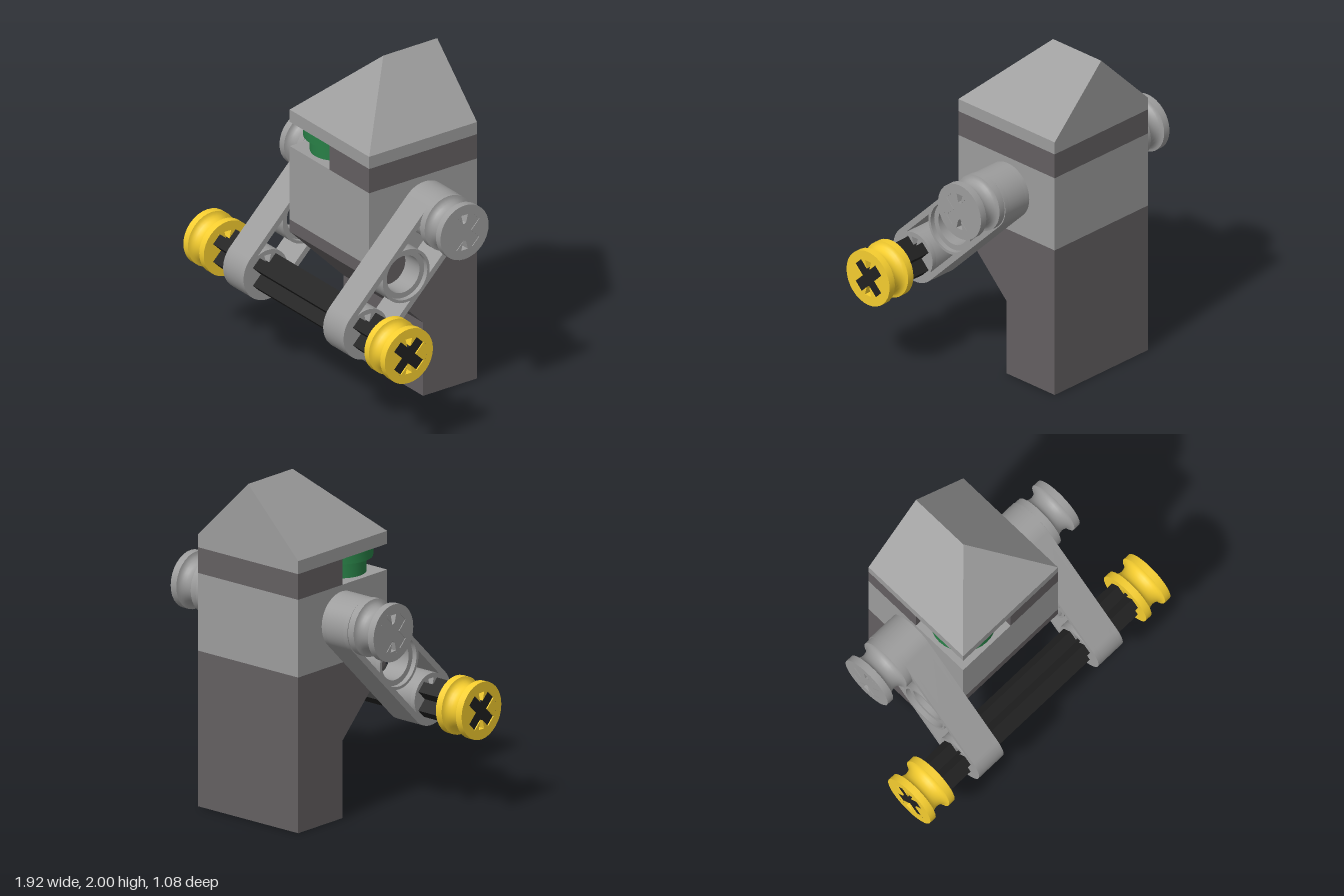
import * as THREE from 'three';
import { toCreasedNormals } from 'three/addons/utils/BufferGeometryUtils.js';
import { ConvexGeometry } from 'three/addons/geometries/ConvexGeometry.js';

const mat = (color) => new THREE.MeshStandardMaterial({ color });
const LIGHT = mat(0x9c9c9c), DARK = mat(0x635f61), BLACK = mat(0x212121);
const YELLOW = mat(0xf5cd2f), GREEN = mat(0x287f46);

const W = 0.38, BACK = -0.54, MID = -0.16, FRONT = 0.22;
const R = 0.17, ARM = 0.113, HALF = 0.034;
const UPPER = [-0.165, 1.185], LOWER = [0.37, 0.635]; // pivot points as [z, y]

const poly = (pts) => new THREE.Shape(pts.map(([a, b]) => new THREE.Vector2(a, b)));
const circle = (r, x = 0, y = 0) => new THREE.Path().absarc(x, y, r, 0, Math.PI * 2);

function mesh(name, geometry, material) {
  const m = new THREE.Mesh(geometry, material);
  m.name = name;
  return m;
}

const extrude = (shape, depth) => toCreasedNormals(new THREE.ExtrudeGeometry(shape,
  { depth, bevelEnabled: false, curveSegments: 20 }), 0.5);

// Extrude a (z, y) outline along x, centred on x = 0
const extrudeX = (shape, width, turn = 0) =>
  extrude(shape, width).translate(0, 0, -width / 2).rotateZ(turn).rotateY(-Math.PI / 2);

// Extrude an (x, -z) outline upwards from y
const extrudeY = (shape, height, y) =>
  extrude(shape, height).rotateX(-Math.PI / 2).translate(0, y, 0);

// Diagonal cross; notched adds the small clearance gaps above and below the centre
function crossPoints(notched, cx = 0, rot = 0) {
  const pts = [];
  const put = (a, x, y) => pts.push([
    cx + x * Math.cos(a) - y * Math.sin(a), x * Math.sin(a) + y * Math.cos(a)]);
  for (let k = 0; k < 4; k++) {
    const a = rot + Math.PI / 4 + k * Math.PI / 2;
    const odd = notched && k % 2 === 1;
    put(a, odd ? HALF + 0.015 : HALF, -HALF);
    put(a, ARM, -HALF);
    put(a, ARM, HALF);
    if (notched && k % 2 === 0) {
      put(a, HALF + 0.015, HALF);
      for (const d of [-0.21, 0.21]) put(a + Math.PI / 4 + d, 0.112, 0);
    }
  }
  return pts;
}

const axle = (name, length, material) =>
  mesh(name, extrudeX(poly(crossPoints(false)), length), material);

// Grooved bush: core with cross hole and a turned rim
function bush(name, material) {
  const g = new THREE.Group();
  g.name = name;
  const h = 0.0975, core = 0.125;
  const shape = new THREE.Shape().absarc(0, 0, core, 0, Math.PI * 2);
  shape.holes.push(poly(crossPoints(true)));
  g.add(mesh('bushCore', extrudeX(shape, h * 2), material));
  const profile = [[core, -h], [R, -h]];
  for (let i = 0; i <= 10; i++) {
    const t = Math.PI * i / 10;
    profile.push([R - 0.043 * Math.sin(t), -0.054 * Math.cos(t)]);
  }
  profile.push([R, h], [core, h]);
  const lathe = new THREE.LatheGeometry(profile.map((p) => new THREE.Vector2(...p)), 32);
  g.add(mesh('bushRim', toCreasedNormals(lathe.rotateZ(-Math.PI / 2), 0.6), material));
  return g;
}

// Three-hole link arm with open windows between the bosses
function linkArm(name) {
  const g = new THREE.Group();
  g.name = name;
  const L = 0.385, turn = 3 * Math.PI / 4, inner = 0.135, ring = 0.165, boss = 0.14;
  const layer = (holeRadius, width, x) => {
    const s = new THREE.Shape();
    s.absarc(L, 0, R, -Math.PI / 2, Math.PI / 2);
    s.absarc(-L, 0, R, Math.PI / 2, Math.PI * 1.5);
    s.closePath();
    s.holes.push(circle(holeRadius));
    for (const e of [1, -1]) {
      s.holes.push(poly(crossPoints(true, e * L, -turn)));
      const a = Math.asin(inner / ring), b = Math.asin(inner / boss), pts = [];
      for (let i = 0; i <= 12; i++) {
        const t = a * (i / 6 - 1);
        pts.push([e * ring * Math.cos(t), ring * Math.sin(t)]);
      }
      for (let i = 0; i <= 12; i++) {
        const t = b * (1 - i / 6);
        pts.push([e * (L - boss * Math.cos(t)), boss * Math.sin(t)]);
      }
      s.holes.push(poly(pts));
    }
    const m = mesh('armLayer', extrudeX(s, width, turn), LIGHT);
    m.position.x = x;
    g.add(m);
  };
  layer(0.115, 0.135, 0);
  for (const x of [-0.0825, 0.0825]) layer(0.148, 0.03, x);
  return g;
}

export function createModel() {
  const model = new THREE.Group();
  const place = (obj, x, [z, y]) => { obj.position.set(x, y, z); model.add(obj); };

  // Hollow base brick with a centre pin
  const frame = poly([[-W, -MID], [W, -MID], [W, -BACK], [-W, -BACK]]);
  const t = 0.075;
  frame.holes.push(poly([[-W + t, -MID + t], [W - t, -MID + t], [W - t, -BACK - t], [-W + t, -BACK - t]]));
  model.add(mesh('baseWalls', extrudeY(frame, 0.385, 0), DARK));
  const top = mesh('baseTop', new THREE.BoxGeometry(2 * W, 0.078, MID - BACK), DARK);
  place(top, 0, [(MID + BACK) / 2, 0.424]);
  const pin = mesh('basePin', new THREE.CylinderGeometry(0.077, 0.077, 0.385, 24), DARK);
  place(pin, 0, [(MID + BACK) / 2, 0.1925]);

  // Overhanging slope brick
  model.add(mesh('invertedSlope', extrudeX(poly(
    [[BACK, 0.463], [MID, 0.463], [FRONT, 0.85], [FRONT, 0.927], [BACK, 0.927]]), 2 * W), DARK));

  // Pair of body bricks bored for the upper axle
  for (const side of [1, -1]) {
    const s = poly([[BACK, 0.927], [FRONT, 0.927], [FRONT, 1.39], [BACK, 1.39]]);
    s.holes.push(circle(0.118, ...UPPER));
    const brick = mesh(side > 0 ? 'leftBodyBrick' : 'rightBodyBrick', extrudeX(s, W), LIGHT);
    brick.position.x = side * W / 2;
    model.add(brick);
  }

  // Corner plate and round lamp in its open quarter
  model.add(mesh('cornerPlate', extrudeY(poly([[0, -FRONT], [W, -FRONT], [W, -BACK],
    [-W, -BACK], [-W, -MID], [0, -MID]]), 0.153, 1.39), DARK));
  const lamp = [[0, 1.39], [0.152, 1.39], [0.152, 1.485], [0.19, 1.485], [0.19, 1.542], [0, 1.542]];
  const lampMesh = mesh('roundLamp', toCreasedNormals(new THREE.LatheGeometry(
    lamp.map((p) => new THREE.Vector2(...p)), 32), 0.5), GREEN);
  place(lampMesh, -W / 2, [0.03, 0]);

  // Roof: straight gable behind, hipped end in front
  const roof = (name, z0, z1, ridge) => {
    const pts = ridge.map((z) => new THREE.Vector3(0, 2, z));
    for (const x of [-W, W]) for (const y of [1.543, 1.62]) for (const z of [z0, z1])
      pts.push(new THREE.Vector3(x, y, z));
    model.add(mesh(name, new ConvexGeometry(pts), LIGHT));
  };
  roof('roofGable', BACK, MID, [BACK, MID]);
  roof('roofHip', MID, FRONT, [MID]);

  // Axles, link arms and bushes
  place(axle('upperAxle', 1.53, LIGHT), 0, UPPER);
  place(axle('lowerAxle', 1.91, BLACK), 0, LOWER);
  const centre = [(UPPER[0] + LOWER[0]) / 2, (UPPER[1] + LOWER[1]) / 2];
  for (const side of [1, -1]) {
    const n = side > 0 ? 'left' : 'right';
    place(linkArm(n + 'LinkArm'), side * 0.478, centre);
    place(bush(n + 'UpperBush', LIGHT), side * 0.672, UPPER);
    place(bush(n + 'LowerBush', YELLOW), side * 0.865, LOWER);
  }
  return model;
}
